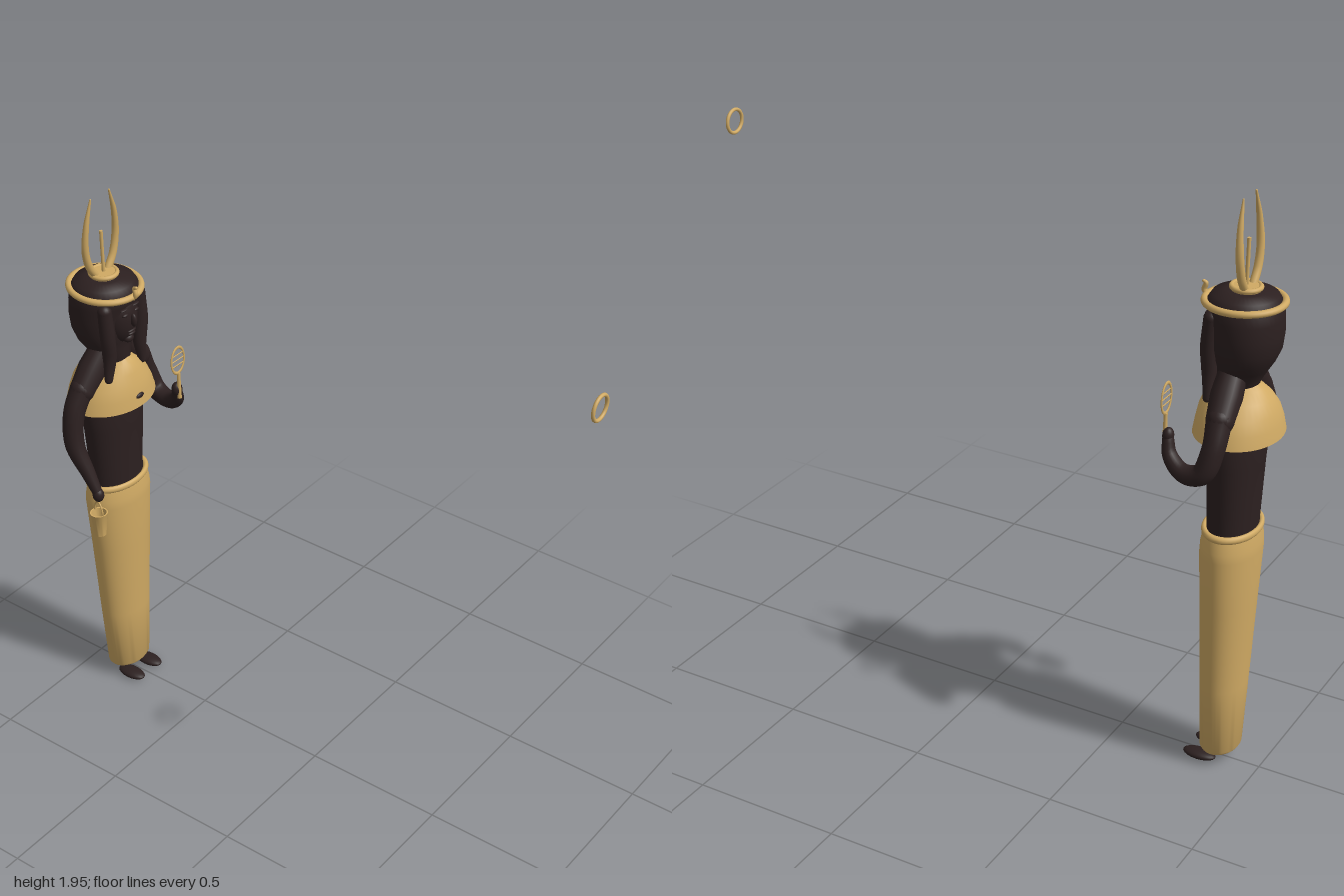
import * as THREE from 'three';
import { toCreasedNormals } from 'three/addons/utils/BufferGeometryUtils.js';

const gold = new THREE.MeshStandardMaterial({ color: 0xd0aa64, side: THREE.DoubleSide });
gold.name = 'gold';
const dark = new THREE.MeshStandardMaterial({ color: 0x2c2020 });
dark.name = 'dark skin and hair';

const Z = -0.86; // depth of the statue's axis

export function createModel() {
  const model = new THREE.Group();
  model.name = 'statue';

  function add(name, geometry, material, x = 0, y = 0, z = 0) {
    const mesh = new THREE.Mesh(geometry, material);
    mesh.name = name;
    mesh.position.set(x, y, z);
    model.add(mesh);
    return mesh;
  }

  // Stack of ellipses, bottom to top: [y, half width, half depth, centre z]
  function loft(name, rings, material) {
    const g = new THREE.LatheGeometry(rings.map((r, i) => new THREE.Vector2(1, i)), 40);
    const p = g.attributes.position;
    for (let i = 0; i < p.count; i++) {
      const [y, hx, hz, cz = Z] = rings[i % rings.length];
      p.setXYZ(i, p.getX(i) * hx, y, cz + p.getZ(i) * hz);
    }
    return add(name, toCreasedNormals(g, 0.8), material);
  }

  // Tube whose radius follows a list of values, with rounded ends
  function limb(name, points, radii, material) {
    const curve = new THREE.CatmullRomCurve3(points.map(p => new THREE.Vector3(...p)));
    const n = 28, sides = 14;
    const g = new THREE.TubeGeometry(curve, n, 1, sides);
    const p = g.attributes.position, v = new THREE.Vector3();
    for (let i = 0; i <= n; i++) {
      const c = curve.getPointAt(i / n);
      const f = (i / n) * (radii.length - 1), k = Math.min(Math.floor(f), radii.length - 2);
      const r = THREE.MathUtils.lerp(radii[k], radii[k + 1], f - k);
      for (let j = 0; j <= sides; j++) {
        const id = i * (sides + 1) + j;
        v.fromBufferAttribute(p, id).sub(c).multiplyScalar(r).add(c);
        p.setXYZ(id, v.x, v.y, v.z);
      }
    }
    add(name, g, material);
    ball(name + 'Start', points[0], Array(3).fill(radii[0]), material);
    ball(name + 'End', points.at(-1), Array(3).fill(radii.at(-1)), material);
  }

  function ball(name, at, size, material) {
    const mesh = add(name, new THREE.SphereGeometry(1, 20, 14), material, ...at);
    mesh.scale.set(...size);
    return mesh;
  }

  // Horizontal elliptical hoop
  function hoop(name, y, hx, hz, tube, cz = Z) {
    const g = new THREE.TorusGeometry(1, tube / hx, 12, 48);
    g.rotateX(Math.PI / 2).scale(hx, hx, hz);
    return add(name, g, gold, 0, y, cz);
  }

  // Long skirt and belt
  loft('skirt', [[0.05, 0, 0], [0.05, 0.08, 0.058], [0.06, 0.087, 0.064], [0.3, 0.104, 0.073],
    [0.6, 0.122, 0.084], [0.79, 0.135, 0.092], [0.82, 0.133, 0.091], [0.86, 0.122, 0.085], [0.86, 0, 0]], gold);
  hoop('belt', 0.868, 0.119, 0.082, 0.012);

  // Bare torso
  loft('torso', [[0.84, 0.105, 0.076], [0.9, 0.107, 0.077], [1.0, 0.114, 0.08], [1.1, 0.122, 0.083],
    [1.2, 0.13, 0.09], [1.28, 0.115, 0.08], [1.33, 0.07, 0.06], [1.34, 0, 0]], dark);

  // Broad collar with a small clasp
  loft('collar', [[1.2, 0.168, 0.137, -0.863], [1.24, 0.155, 0.131, -0.862], [1.28, 0.135, 0.122, -0.86],
    [1.32, 0.1, 0.105, -0.857], [1.35, 0.065, 0.087, -0.85], [1.37, 0.035, 0.065, -0.845]], gold);
  ball('collarClasp', [0, 1.238, -0.733], [0.019, 0.01, 0.008], dark);

  // Head, hair and face
  loft('hair', [[1.32, 0.05, 0.06, -0.85], [1.37, 0.06, 0.07, -0.85], [1.41, 0.085, 0.08, -0.862],
    [1.44, 0.104, 0.092, -0.868], [1.48, 0.116, 0.105, -0.872], [1.53, 0.121, 0.11, -0.872],
    [1.58, 0.12, 0.114, -0.866], [1.62, 0.116, 0.116, -0.86], [1.645, 0.1, 0.1], [1.657, 0.06, 0.06], [1.659, 0, 0]], dark);
  ball('face', [0, 1.53, -0.805], [0.064, 0.105, 0.062], dark);
  ball('nose', [0, 1.528, -0.741], [0.01, 0.024, 0.013], dark);
  ball('upperLip', [0, 1.486, -0.752], [0.02, 0.006, 0.008], dark);
  ball('lowerLip', [0, 1.475, -0.753], [0.017, 0.006, 0.008], dark);
  ball('chin', [0, 1.452, -0.768], [0.02, 0.016, 0.016], dark);

  for (const s of [-1, 1]) {
    const side = s > 0 ? 'left' : 'right';
    ball(side + 'Eye', [s * 0.026, 1.553, -0.753], [0.014, 0.006, 0.008], dark);
    ball(side + 'Brow', [s * 0.027, 1.573, -0.755], [0.019, 0.004, 0.008], dark);
    limb(side + 'HairLappet', [[s * 0.084, 1.58, -0.79], [s * 0.082, 1.48, -0.785],
      [s * 0.076, 1.4, -0.788], [s * 0.085, 1.32, -0.79]], [0.024, 0.026, 0.024, 0.014], dark);
    limb(side + 'Shoulder', [[s * 0.04, 1.4, -0.85], [s * 0.09, 1.345, -0.855], [s * 0.14, 1.285, -0.86]],
      [0.045, 0.05, 0.044], dark);
    ball(side + 'Foot', [s * 0.048, 0.017, -0.808], [0.03, 0.015, 0.057], dark);

    // Curved horn
    limb(side + 'Horn', [[s * 0.03, 1.665, -0.868], [s * 0.058, 1.71, -0.868], [s * 0.073, 1.775, -0.866],
      [s * 0.068, 1.86, -0.86], [s * 0.045, 1.95, -0.855]], [0.013, 0.013, 0.012, 0.009, 0.003], gold);
  }

  // Headband, cobra and crown base
  hoop('headband', 1.622, 0.116, 0.121, 0.011, -0.858).rotation.x = 0.04;
  limb('cobra', [[0, 1.61, -0.735], [0, 1.63, -0.725], [0, 1.65, -0.73], [0, 1.655, -0.722]],
    [0.006, 0.009, 0.008, 0.005], gold);
  loft('crownBase', [[1.645, 0.044, 0.044], [1.672, 0.048, 0.048], [1.672, 0, 0]], gold);
  hoop('crownBaseRim', 1.667, 0.044, 0.044, 0.008);
  add('crownPole', new THREE.CylinderGeometry(0.006, 0.006, 0.155, 12), gold, 0, 1.742, Z);

  // Sun ring, set far forward
  add('sunRing', new THREE.TorusGeometry(0.039, 0.006, 12, 48), gold, 0, 1.86, 0.993);

  // Right arm, hanging, with a pail
  limb('rightArm', [[-0.145, 1.29, -0.86], [-0.185, 1.21, -0.865], [-0.203, 1.1, -0.855],
    [-0.19, 0.99, -0.815], [-0.182, 0.915, -0.785]], [0.04, 0.037, 0.034, 0.026, 0.017], dark);
  ball('rightHand', [-0.183, 0.91, -0.783], [0.02, 0.026, 0.02], dark);
  const pail = add('pail', new THREE.LatheGeometry([[0, 0], [0.021, 0], [0.029, 0.086], [0.031, 0.09],
    [0.026, 0.09], [0.019, 0.01], [0, 0.01]].map(p => new THREE.Vector2(...p)), 24), gold, -0.19, 0.752, -0.78);
  pail.geometry = toCreasedNormals(pail.geometry, 0.7);
  const pailHandle = add('pailHandle', new THREE.TorusGeometry(0.026, 0.003, 8, 24, Math.PI), gold, -0.19, 0.84, -0.78);
  pailHandle.scale.y = 1.7;
  pailHandle.rotation.y = Math.PI / 2 - 0.3;

  // Left arm, raised, with a rattle
  limb('leftArm', [[0.145, 1.29, -0.86], [0.182, 1.2, -0.86], [0.198, 1.125, -0.835],
    [0.19, 1.108, -0.77], [0.168, 1.145, -0.713], [0.152, 1.19, -0.698]], [0.04, 0.036, 0.036, 0.032, 0.026, 0.018], dark);
  ball('leftHand', [0.15, 1.2, -0.697], [0.02, 0.026, 0.018], dark);
  add('rattleHandle', new THREE.CylinderGeometry(0.006, 0.008, 0.1, 12), gold, 0.148, 1.22, -0.685);
  const loop = add('rattleLoop', new THREE.TorusGeometry(0.033, 0.004, 8, 32), gold, 0.147, 1.32, -0.685);
  loop.scale.set(1, 1.5, 0.7);
  for (let i = -1; i <= 1; i++) {
    const bar = add('rattleBar', new THREE.CylinderGeometry(0.002, 0.002, 0.066, 8), gold, 0.147, 1.322 + i * 0.02, -0.685);
    bar.rotation.z = Math.PI / 2;
  }

  return model;
}
